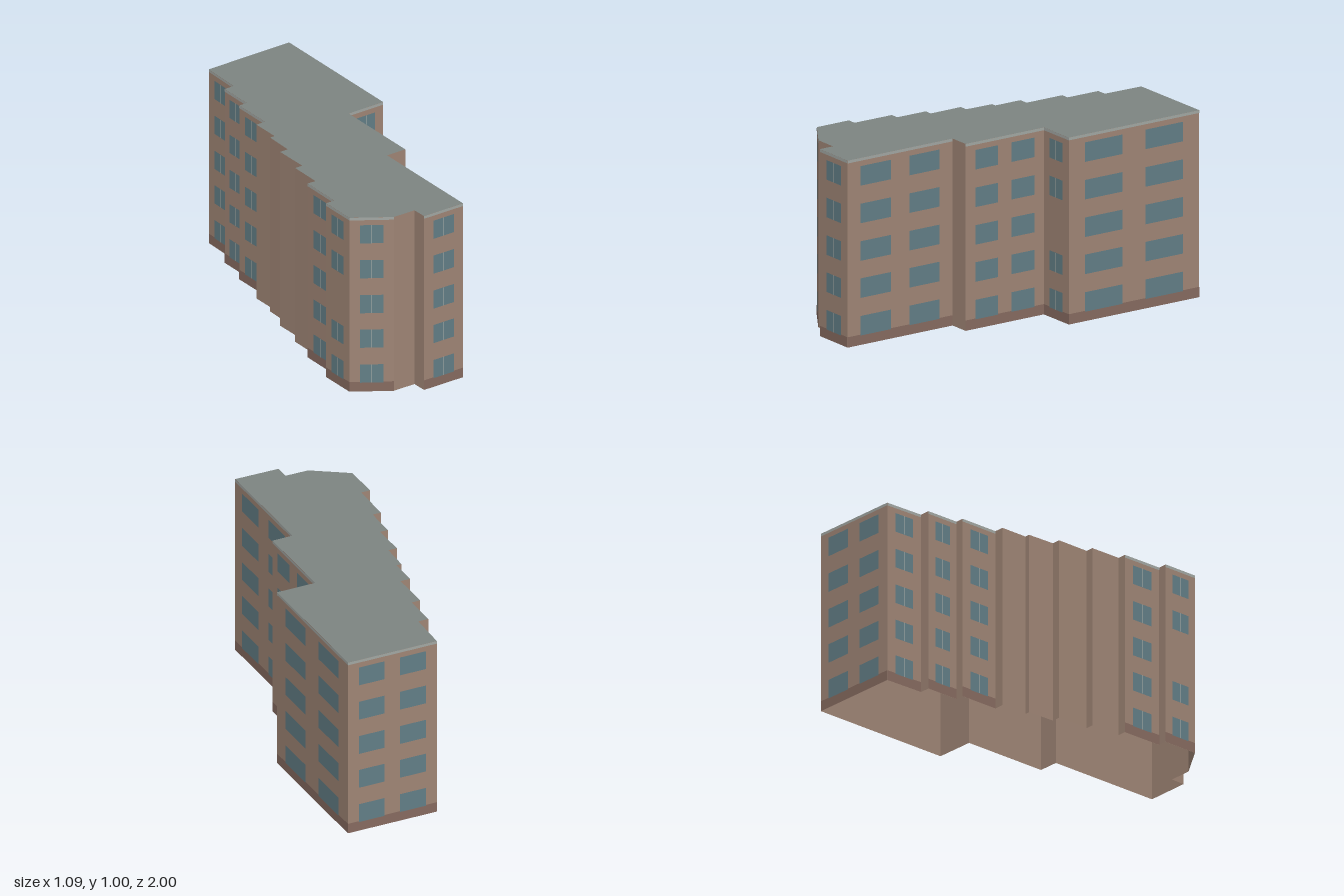
import * as THREE from 'three';

// One row per wall: start corner x, z and the kind of facade running to the next corner
const WALLS = [
  [-0.105, -1.0, 'double'], [0.285, -0.285, 'stair'], [0.095, -0.18, 'double'],
  [0.33, 0.25, 'blank'], [0.23, 0.305, 'double'], [0.545, 0.88, 'single'],
  [0.33, 0.995, 'blank'], [0.29, 0.925, 'blank'], [0.178, 0.985, 'single'],
  [-0.048, 0.966, 'stair'], [-0.145, 0.79, 'blank'], [-0.1, 0.767, 'single'],
  [-0.21, 0.562, 'blank'], [-0.168, 0.54, 'blank'], [-0.252, 0.383, 'blank'],
  [-0.213, 0.362, 'blank'], [-0.305, 0.197, 'blank'], [-0.263, 0.174, 'blank'],
  [-0.335, 0.033, 'blank'], [-0.31, 0.02, 'blank'], [-0.386, -0.118, 'blank'],
  [-0.338, -0.144, 'single'], [-0.445, -0.34, 'blank'], [-0.404, -0.362, 'single'],
  [-0.495, -0.53, 'blank'], [-0.445, -0.558, 'single'], [-0.547, -0.757, 'double'],
];
const HEIGHT = 0.995;
const ROWS = [0.1025, 0.3025, 0.5, 0.7, 0.9];

const paint = (color, side = THREE.FrontSide) =>
  new THREE.MeshStandardMaterial({ color, side });

export function createModel() {
  const building = new THREE.Group();
  building.name = 'apartmentBuilding';
  const brick = paint(0xa08676, THREE.DoubleSide);
  const slate = paint(0x7d8582, THREE.DoubleSide);
  const plinthPaint = paint(0x876b60);
  const cornicePaint = paint(0xa3a8a4);
  const glass = paint(0x637f87);
  const framePaint = paint(0xb5b8b2);

  WALLS.forEach(([ax, az, kind], i) => {
    const [bx, bz] = WALLS[(i + 1) % WALLS.length];
    const length = Math.hypot(bx - ax, bz - az);

    // Each facade is built facing +z, then turned into place
    const facade = new THREE.Group();
    facade.name = 'facade' + (i + 1);
    facade.position.set((ax + bx) / 2, 0, (az + bz) / 2);
    facade.rotation.y = Math.atan2(bz - az, ax - bx);
    building.add(facade);

    // Flat panel centred at a fraction of the wall's length
    const panel = (name, material, centre, width, y, height, offset) => {
      const mesh = new THREE.Mesh(new THREE.PlaneGeometry(width, height), material);
      mesh.position.set((centre - 0.5) * length, y, offset);
      mesh.name = name;
      facade.add(mesh);
    };

    panel('wall', brick, 0.5, length, HEIGHT / 2, HEIGHT, 0);
    if (kind === 'blank') return;
    panel('plinth', plinthPaint, 0.5, length, 0.0275, 0.055, 0.001);
    panel('cornice', cornicePaint, 0.5, length, HEIGHT - 0.0075, 0.015, 0.001);

    // Windows, floor by floor
    ROWS.forEach((y, row) => {
      if (kind === 'stair' && row === 2) return;
      if (kind === 'double') {
        for (const centre of [0.265, 0.73]) {
          panel('window', glass, centre, length * 0.288, y, 0.104, 0.002);
        }
      } else {
        panel('window', glass, 0.5, length * 0.53, y, 0.104, 0.002);
        panel('mullion', framePaint, 0.5, length * 0.016, y, 0.104, 0.003);
      }
    });
  });

  // Flat roof over the stepped plan
  const plan = new THREE.Shape(WALLS.map(([x, z]) => new THREE.Vector2(x, -z)));
  const roof = new THREE.Mesh(new THREE.ShapeGeometry(plan).rotateX(-Math.PI / 2), slate);
  roof.position.y = HEIGHT;
  roof.name = 'roof';
  building.add(roof);

  return building;
}
